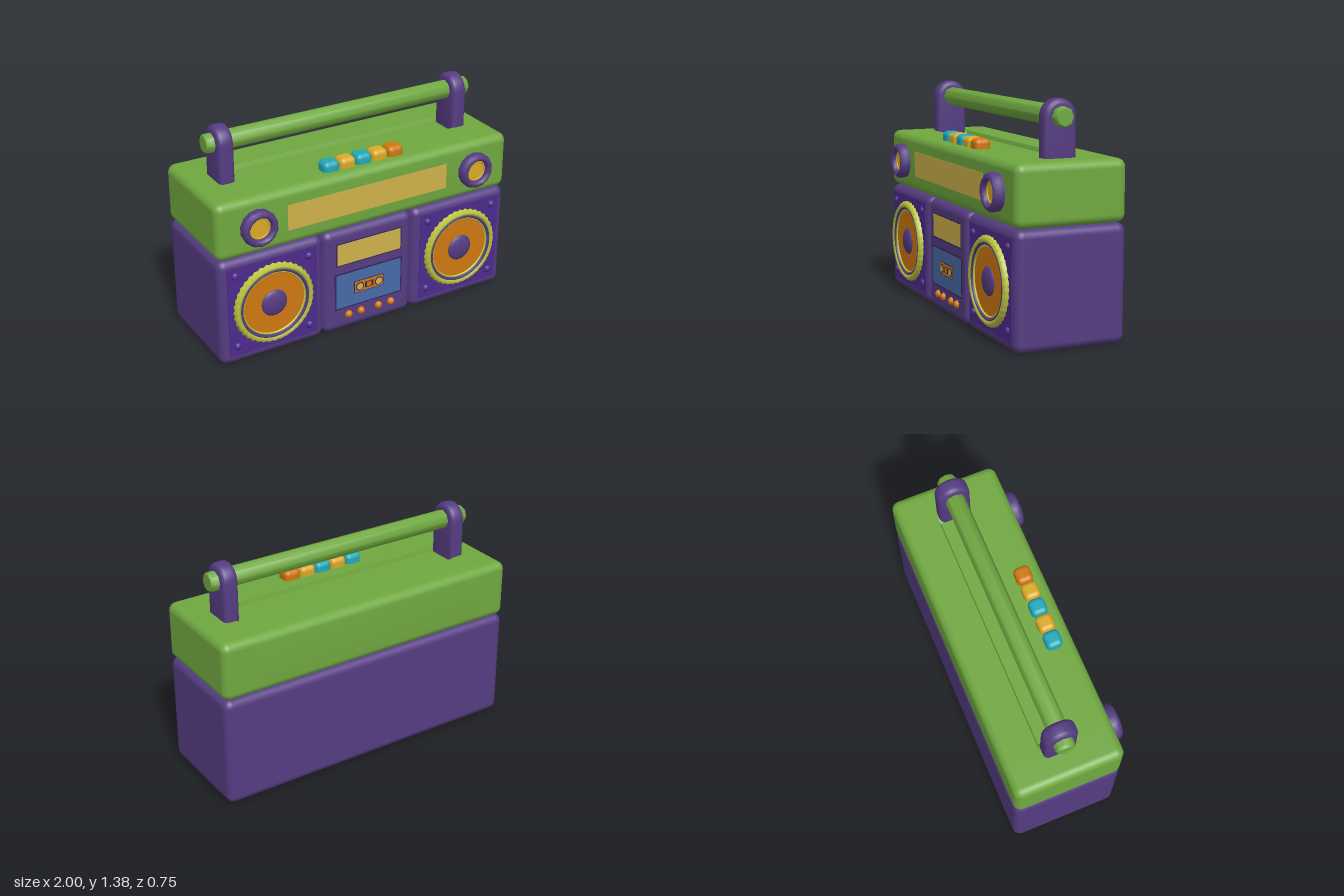
import * as THREE from 'three';
import { RoundedBoxGeometry } from 'three/addons/geometries/RoundedBoxGeometry.js';
import { toCreasedNormals } from 'three/addons/utils/BufferGeometryUtils.js';

const paint = (name, color) => {
  const m = new THREE.MeshStandardMaterial({ color });
  m.name = name;
  return m;
};

export function createModel() {
  const green = paint('green', 0x70a840), purple = paint('purple', 0x553c82);
  const violet = paint('violet', 0x4e2a8c), lime = paint('lime', 0xbcc63e);
  const orange = paint('orange', 0xd07810), yellow = paint('yellow', 0xdaaa28);
  const sand = paint('sand', 0xcfb24c), blue = paint('blue', 0x466aa8);
  const teal = paint('teal', 0x22a8b8), dark = paint('dark purple', 0x38265e);

  const model = new THREE.Group();
  model.name = 'boombox';
  const FRONT = 0.31, BACK = -0.37;

  function add(name, geometry, material, x = 0, y = 0, z = 0, parent = model) {
    const mesh = new THREE.Mesh(geometry, material);
    mesh.name = name;
    mesh.position.set(x, y, z);
    parent.add(mesh);
    return mesh;
  }
  // Rounded box given by its limits
  function block(name, mat, x0, x1, y0, y1, z0, z1, r = 0.05) {
    add(name, new RoundedBoxGeometry(x1 - x0, y1 - y0, z1 - z0, 4, r), mat,
      (x0 + x1) / 2, (y0 + y1) / 2, (z0 + z1) / 2);
  }
  // Thin plate on the front face, given by its limits and the height it stands out
  function plate(name, mat, x0, x1, y0, y1, out) {
    add(name, new THREE.BoxGeometry(x1 - x0, y1 - y0, 0.008), mat,
      (x0 + x1) / 2, (y0 + y1) / 2, FRONT + out - 0.004);
  }
  // Turned part facing +z; profile is [radius, z] pairs
  const turned = (profile, sides) => new THREE.LatheGeometry(
    profile.map(([r, z]) => new THREE.Vector2(r, z)), sides).rotateX(Math.PI / 2);
  const disc = (r, sides = 32) => new THREE.CircleGeometry(r, sides);
  const stud = (r, h) => new THREE.SphereGeometry(r, 12, 8).scale(1, 1, h / r);

  // Lower case: one body behind, three bays with grooves in front
  block('lowerBody', purple, -1, 1, 0, 0.69, BACK, 0.06);
  block('speakerBayRight', purple, -1, -0.315, 0, 0.69, BACK + 0.1, FRONT);
  block('deckBay', purple, -0.315, 0.31, 0, 0.69, BACK + 0.1, FRONT);
  block('speakerBayLeft', purple, 0.31, 1, 0, 0.69, BACK + 0.1, FRONT);

  // Upper case: rounded ends joined by a section with a handle channel on top
  const r = 0.05, a0 = -FRONT, a1 = -BACK, y0 = 0.69, y1 = 1.05;
  const section = new THREE.Shape();
  section.moveTo(a0 + r, y0);
  section.lineTo(a1 - r, y0);
  section.absarc(a1 - r, y0 + r, r, -Math.PI / 2, 0);
  section.lineTo(a1, y1 - r);
  section.absarc(a1 - r, y1 - r, r, 0, Math.PI / 2);
  section.lineTo(0.14, y1);
  section.lineTo(0.13, y1 - 0.025);
  section.lineTo(-0.06, y1 - 0.025);
  section.lineTo(-0.065, y1);
  section.lineTo(a0 + r, y1);
  section.absarc(a0 + r, y1 - r, r, Math.PI / 2, Math.PI);
  section.lineTo(a0, y0 + r);
  section.absarc(a0 + r, y0 + r, r, Math.PI, Math.PI * 1.5);
  const middle = new THREE.ExtrudeGeometry(section, { depth: 1.6, bevelEnabled: false, curveSegments: 5 });
  middle.rotateY(Math.PI / 2).translate(-0.8, 0, 0);
  add('upperBody', toCreasedNormals(middle, 0.6), green);
  block('upperEndRight', green, -1, -0.74, y0, y1, BACK, FRONT);
  block('upperEndLeft', green, 0.74, 1, y0, y1, BACK, FRONT);

  // Handle: arched posts and an eight-sided bar
  const post = new THREE.Shape();
  post.moveTo(-0.07, 0);
  post.lineTo(0.07, 0);
  post.lineTo(0.07, 0.28);
  post.absarc(0, 0.28, 0.07, 0, Math.PI);
  const postGeo = toCreasedNormals(new THREE.ExtrudeGeometry(post, {
    depth: 0.04, bevelThickness: 0.03, bevelSize: 0.03, bevelSegments: 4, curveSegments: 10,
  }).translate(0, 0, -0.02).rotateY(Math.PI / 2), 0.8);
  for (const s of [-1, 1]) add('handlePost', postGeo, purple, s * 0.8, 1, -0.03);
  const bar = turned([[0, -0.9], [0.05, -0.9], [0.06, -0.885], [0.06, 0.885], [0.05, 0.9], [0, 0.9]], 8);
  add('handleBar', toCreasedNormals(bar.rotateY(Math.PI / 2), 0.82), green, 0, 1.28, -0.03);

  // Row of keys on top
  [teal, yellow, teal, yellow, orange].forEach((mat, i) => {
    const x = -0.21 + i * 0.11;
    block('topKey', mat, x - 0.053, x + 0.053, 1.0, 1.11, 0.14, 0.24, 0.03);
  });

  // Tuner window and the two knobs
  plate('tunerWindow', sand, -0.55, 0.545, 0.79, 0.95, 0.003);
  const knobGeo = turned([[0.11, 0], [0.114, 0.03], [0.108, 0.052], [0.092, 0.065],
    [0.078, 0.06], [0.07, 0.045], [0.068, 0.01]], 14);
  for (const s of [-1, 1]) {
    const knob = new THREE.Group();
    knob.name = 'knob';
    knob.position.set(s * 0.745, 0.87, FRONT);
    model.add(knob);
    add('knobRing', knobGeo, purple, 0, 0, 0, knob);
    add('knobDial', disc(0.07), yellow, 0, 0, 0.03, knob);
    add('dialRim', new THREE.TorusGeometry(0.062, 0.006, 6, 28), yellow, 0, 0, 0.032, knob);
  }

  // Knurled speaker rim: every other outer corner is pulled in
  const rimGeo = turned([[0.262, -0.005], [0.262, 0.018], [0.242, 0.037], [0.222, 0.028], [0.222, 0]], 80);
  const p = rimGeo.attributes.position;
  for (let i = 0; i < p.count; i++) {
    if (Math.floor(i / 5) % 2 && i % 5 < 2) p.setXY(i, p.getX(i) * 0.965, p.getY(i) * 0.965);
  }
  rimGeo.computeVertexNormals();
  const surroundGeo = turned([[0.23, 0.01], [0.226, 0.028], [0.217, 0.032], [0.208, 0.025], [0.206, 0.008]], 48);
  const innerRimGeo = turned([[0.209, 0.01], [0.207, 0.022], [0.199, 0.022], [0.196, 0.008]], 48);
  for (const s of [-1, 1]) {
    const speaker = new THREE.Group();
    speaker.name = 'speaker';
    speaker.position.set(s * 0.658, 0.35, FRONT);
    model.add(speaker);
    add('speakerPlate', new THREE.BoxGeometry(0.585, 0.585, 0.008), violet, 0, 0, 0, speaker);
    add('speakerRim', rimGeo, lime, 0, 0, 0, speaker);
    add('speakerSurround', surroundGeo, purple, 0, 0, 0, speaker);
    add('speakerInnerRim', innerRimGeo, lime, 0, 0, 0, speaker);
    add('speakerCone', disc(0.205, 48), orange, 0, 0, 0.014, speaker);
    add('speakerDome', new THREE.SphereGeometry(0.085, 24, 12).scale(1, 1, 0.3), purple, 0, 0, 0.012, speaker);
    for (const x of [-0.24, 0.24]) for (const y of [-0.23, 0.24]) {
      add('screw', stud(0.025, 0.02), violet, x, y, 0.002, speaker);
    }
  }

  // Display and cassette door with dark frames
  plate('displayFrame', dark, -0.232, 0.228, 0.453, 0.607, 0.002);
  plate('display', sand, -0.224, 0.22, 0.461, 0.6, 0.004);
  plate('doorFrame', dark, -0.242, 0.235, 0.153, 0.402, 0.002);
  plate('door', blue, -0.232, 0.225, 0.163, 0.392, 0.004);

  // Cassette with two reels
  plate('cassetteEdge', dark, -0.108, 0.102, 0.24, 0.322, 0.005);
  plate('cassette', orange, -0.103, 0.097, 0.245, 0.317, 0.007);
  plate('cassetteWindow', dark, -0.032, 0.026, 0.261, 0.301, 0.008);
  plate('tape', orange, -0.02, 0.014, 0.266, 0.296, 0.009);
  for (const x of [-0.071, 0.065]) {
    add('reelRing', disc(0.029, 20), dark, x, 0.281, FRONT + 0.009);
    add('reel', disc(0.022, 20), sand, x, 0.281, FRONT + 0.011);
  }

  // Deck buttons
  for (const x of [-0.145, -0.057, 0.068, 0.158]) {
    add('deckButton', stud(0.025, 0.025), orange, x, 0.105, FRONT);
  }
  return model;
}
